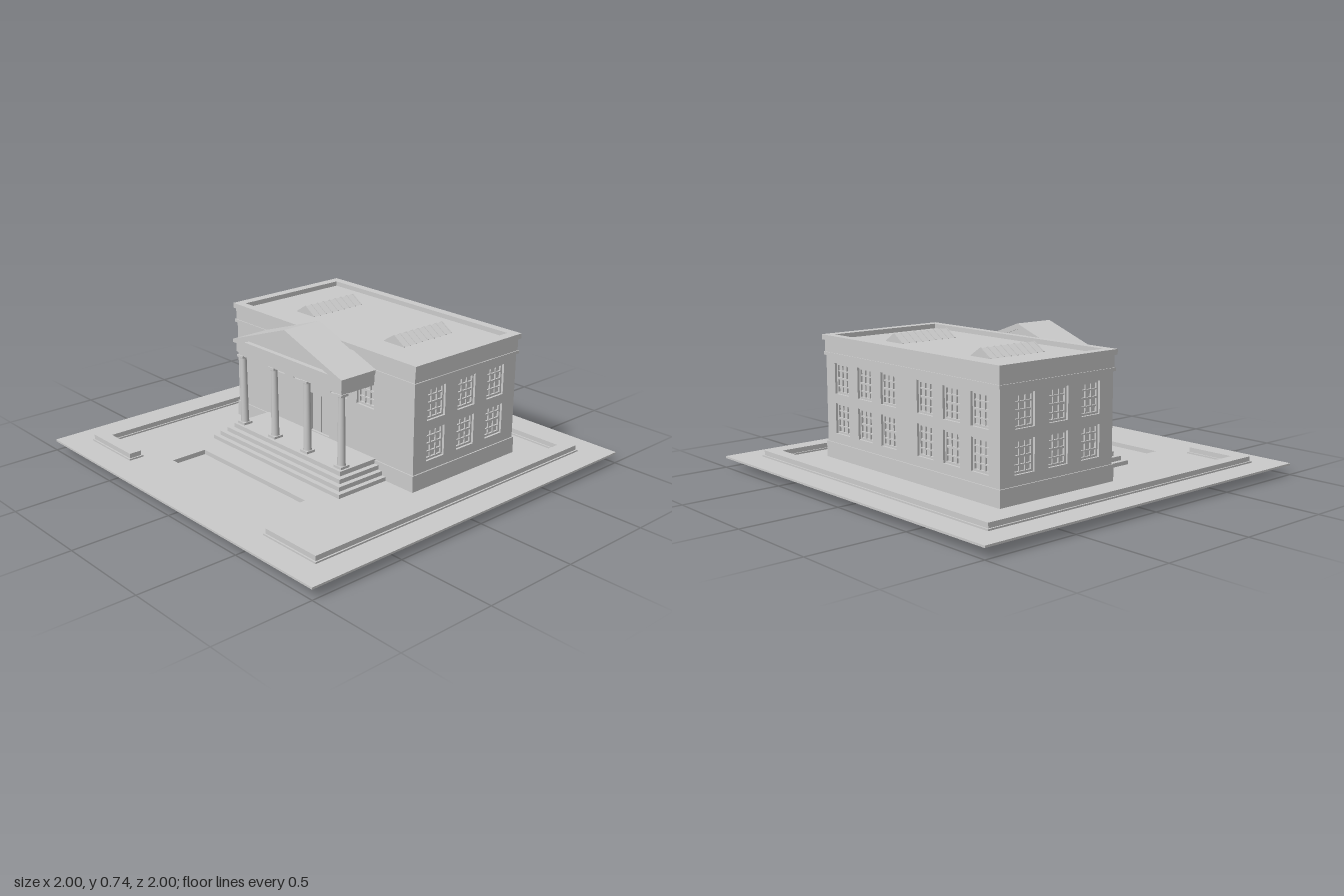
import * as THREE from 'three';

const mat = new THREE.MeshStandardMaterial({ color: 0xcccccc, flatShading: true });
const smooth = new THREE.MeshStandardMaterial({ color: 0xcccccc });

function add(parent, name, geo, x = 0, y = 0, z = 0, m = mat) {
  const mesh = new THREE.Mesh(geo, m);
  mesh.name = name;
  mesh.position.set(x, y, z);
  parent.add(mesh);
  return mesh;
}

// Box given by its limits
function box(parent, name, x0, x1, y0, y1, z0, z1) {
  return add(parent, name, new THREE.BoxGeometry(x1 - x0, y1 - y0, z1 - z0),
    (x0 + x1) / 2, (y0 + y1) / 2, (z0 + z1) / 2);
}

const poly = (pts) => new THREE.Shape(pts.map(([x, y]) => new THREE.Vector2(x, y)));
const rect = (x0, x1, y0, y1) => poly([[x0, y0], [x1, y0], [x1, y1], [x0, y1]]);

function extrude(shape, holes, depth) {
  shape.holes.push(...holes);
  return new THREE.ExtrudeGeometry(shape, { depth, bevelEnabled: false });
}

// Plan shape raised from y0 to y1
function plan(parent, name, shape, holes, y0, y1) {
  return add(parent, name, extrude(shape, holes, y1 - y0).rotateX(-Math.PI / 2), 0, y0, 0);
}

// Gable prism with its ridge along x
function gable(parent, name, x0, x1, zc, pts, holes = []) {
  const g = extrude(poly(pts), holes, x1 - x0).rotateY(Math.PI / 2);
  return add(parent, name, g, x0, 0, zc);
}

// C-shaped outline of the garden wall, inset by d
function curbShape(d) {
  const o = 0.866 - d, i = 0.786 + d, e = 0.522 + d;
  return poly([[-o, -o], [o, -o], [o, o], [-o, o], [-o, e], [-i, e],
    [-i, i], [i, i], [i, -i], [-i, -i], [-i, -e], [-o, -e]]);
}

// One facade: wall with openings, recessed glazing bars
function facade(width, dist, angle, windows, door) {
  const g = new THREE.Group();
  g.name = 'facade';
  g.rotation.y = angle;
  const w = 0.118, h = 0.154, t = 0.022;
  const holes = windows.map(([u, v]) => rect(u - w / 2, u + w / 2, v, v + h));
  if (door) holes.push(rect(-0.07, 0.07, 0.15, 0.35));
  add(g, 'wall', extrude(rect(-width / 2, width / 2, 0.058, 0.655), holes, t), 0, 0, dist - t);
  const z0 = dist - t - 0.002, z1 = dist - 0.012;
  for (const [u, v] of windows) {
    const l = u - w / 2, r = u + w / 2;
    add(g, 'windowFrame', extrude(rect(l, r, v, v + h),
      [rect(l + 0.01, r - 0.01, v + 0.01, v + h - 0.01)], z1 - z0), 0, 0, z0);
    for (const s of [-1, 1]) box(g, 'mullion', u + s * 0.018 - 0.003, u + s * 0.018 + 0.003, v, v + h, z0, z1 - 0.002);
    for (const k of [1, 2, 3]) {
      const y = v + h * k / 4, b = k === 2 ? 0.005 : 0.003;
      box(g, 'glazingBar', l, r, y - b, y + b, z0, z1 - 0.001);
    }
  }
  if (door) for (const s of [-1, 1]) box(g, 'doorLeaf', s * 0.034 - 0.031, s * 0.034 + 0.031, 0.15, 0.345, z0, z1);
  return g;
}

export function createModel() {
  const root = new THREE.Group();
  root.name = 'porticoBuilding';

  // Ground sheet, pool basin and garden wall
  plan(root, 'ground', rect(-1, 1, -1, 1),
    [rect(-0.706, -0.51, -0.388, 0.388), curbShape(0.012)], 0.048, 0.058);
  box(root, 'poolFloor', -0.706, -0.51, 0, 0.035, -0.388, 0.388);
  plan(root, 'poolSides', rect(-0.706, -0.51, -0.388, 0.388),
    [rect(-0.704, -0.512, -0.386, 0.386)], 0.03, 0.058);
  plan(root, 'gardenWallBase', curbShape(0), [curbShape(0.012)], 0.058, 0.066);
  plan(root, 'gardenWallSides', curbShape(0.008), [curbShape(0.012)], 0.066, 0.086);
  plan(root, 'gardenWallTop', curbShape(0.008), [], 0.086, 0.09);

  // Main block
  const X0 = -0.085, X1 = 0.61, Z = 0.65, cx = (X0 + X1) / 2, t = 0.022;
  const ring = (name, d, y0, y1) => box(root, name, X0 - d, X1 + d, y0, y1, -Z - d, Z + d);
  ring('core', -t, 0.058, 0.655);
  ring('plinth', 0.006, 0.058, 0.14);
  ring('stringCourse', 0.009, 0.578, 0.594);
  ring('frieze', 0.004, 0.594, 0.656);
  plan(root, 'parapet', rect(X0 - 0.012, X1 + 0.014, -0.665, 0.665),
    [rect(-0.055, 0.578, -0.615, 0.615)], 0.654, 0.68);

  const rows = [0.188, 0.39];
  const grid = (us, vs) => us.flatMap((u) => vs.map((v) => [u, v]));
  const ends = grid([-0.203, 0, 0.203], rows);
  const long = grid([-0.519, -0.327, -0.139, 0.139, 0.327, 0.519], rows);
  const entry = grid([-0.327, -0.139, 0.139, 0.327], [rows[1]]);
  const faces = new THREE.Group();
  faces.name = 'facades';
  faces.position.x = cx;
  faces.add(
    facade(X1 - X0, Z, 0, ends), facade(X1 - X0, Z, Math.PI, ends),
    facade(2 * Z, (X1 - X0) / 2, Math.PI / 2, long),
    facade(2 * Z, (X1 - X0) / 2, -Math.PI / 2, entry, true));
  root.add(faces);

  // Ribbed skylights on the roof
  for (const s of [-1, 1]) {
    const tri = (d) => [[-0.0675, 0.65], [0.0675, 0.65], [0.0675, 0.655 + d], [0, 0.698 + d], [-0.0675, 0.655 + d]];
    gable(root, 'skylight', 0.102, 0.434, s * 0.322, tri(0));
    for (let i = 0; i <= 8; i++) {
      const x = 0.102 + i * 0.0407;
      gable(root, 'skylightRib', x, x + 0.006, s * 0.322, tri(0.004));
    }
  }

  // Entrance steps
  const back = X0 + 0.01;
  [[-0.388, 0.478, 0.078], [-0.363, 0.453, 0.1], [-0.338, 0.428, 0.122], [-0.311, 0.402, 0.145]]
    .forEach(([x, z, y]) => box(root, 'step', x, back, 0.05, y, -z, z));

  // Columns
  const profile = [[0, 0], [0.022, 0], [0.022, 0.01], [0.02, 0.014], [0.016, 0.345], [0.021, 0.355], [0.021, 0.36]]
    .map(([r, y]) => new THREE.Vector2(r, y));
  for (const z of [-0.365, -0.122, 0.122, 0.365]) {
    add(root, 'column', new THREE.LatheGeometry(profile, 20), -0.27, 0.148, z, smooth);
    box(root, 'columnBase', -0.296, -0.244, 0.143, 0.157, z - 0.026, z + 0.026);
    box(root, 'columnCapital', -0.293, -0.247, 0.502, 0.514, z - 0.023, z + 0.023);
  }

  // Entablature and gabled roof with recessed tympanum
  box(root, 'architrave', -0.288, back, 0.512, 0.53, -0.383, 0.383);
  box(root, 'entablature', -0.294, back, 0.53, 0.578, -0.389, 0.389);
  box(root, 'porticoCornice', -0.305, back, 0.578, 0.594, -0.402, 0.402);
  gable(root, 'tympanum', -0.28, -0.09, 0, [[-0.39, 0.59], [0.39, 0.59], [0, 0.725]]);
  gable(root, 'porticoRoof', -0.305, -0.085, 0,
    [[-0.402, 0.588], [0.402, 0.588], [0.402, 0.594], [0, 0.736], [-0.402, 0.594]],
    [poly([[-0.31, 0.598], [0.31, 0.598], [0, 0.708]])]);
  return root;
}
